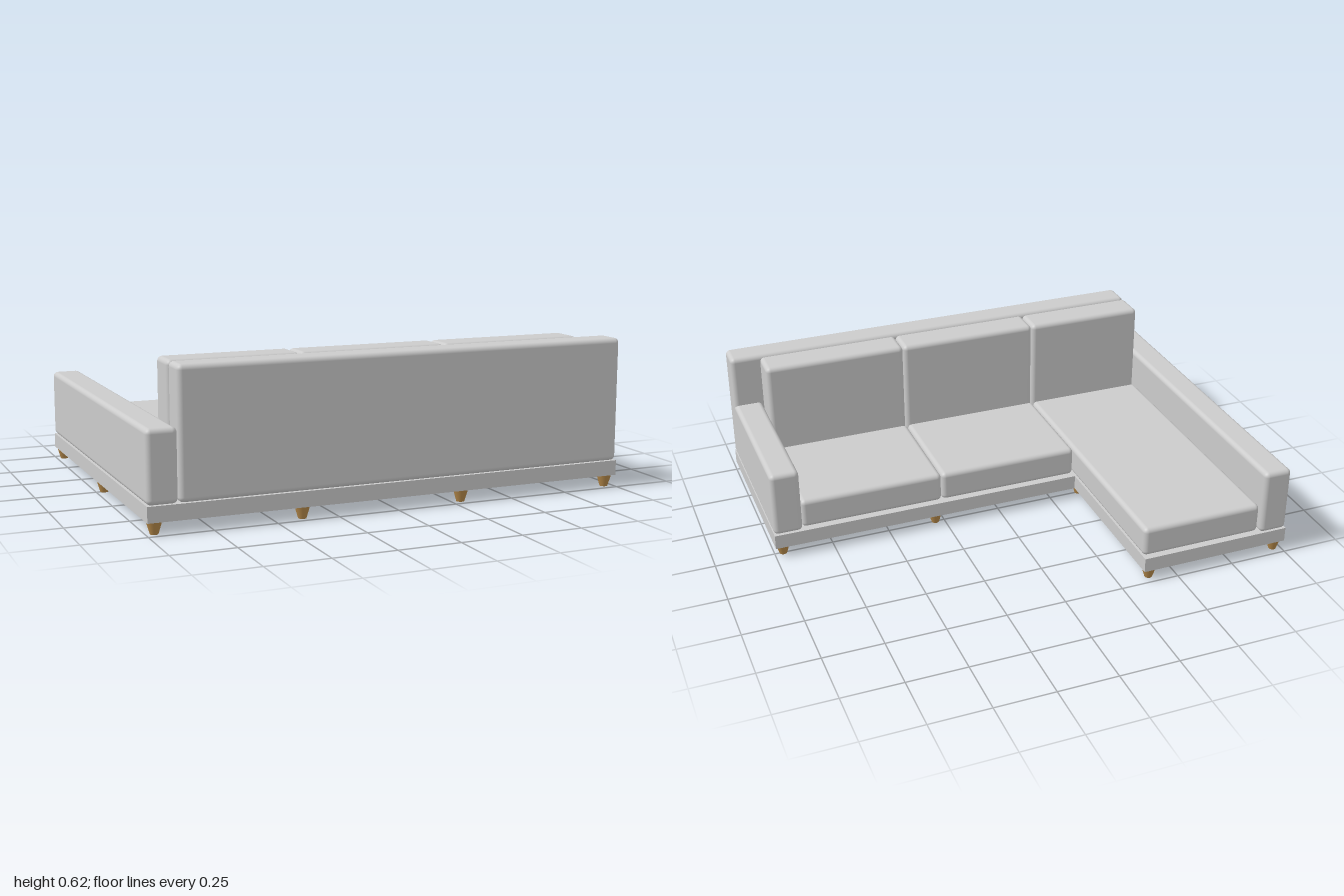
import * as THREE from 'three';
import { RoundedBoxGeometry } from 'three/addons/geometries/RoundedBoxGeometry.js';

export function createModel() {
  const sofa = new THREE.Group();
  sofa.name = 'cornerSofa';
  const fabric = new THREE.MeshStandardMaterial({ color: 0xcccccc });
  const wood = new THREE.MeshStandardMaterial({ color: 0xb5894a });

  // Softly rounded block spanning [min, max] on each axis
  function block(name, [x0, x1], [y0, y1], [z0, z1], radius = 0.02) {
    const mesh = new THREE.Mesh(new RoundedBoxGeometry(x1 - x0, y1 - y0, z1 - z0, 4, radius), fabric);
    mesh.position.set((x0 + x1) / 2, (y0 + y1) / 2, (z0 + z1) / 2);
    mesh.name = name;
    sofa.add(mesh);
  }

  // L-shaped plinth, outlined in (x, -z) and extruded upwards
  const outline = new THREE.Shape([
    [-1, -0.74], [1, -0.74], [1, 0.038], [-0.352, 0.038], [-0.352, 0.74], [-1, 0.74],
  ].map(([x, y]) => new THREE.Vector2(x, y)));
  const base = new THREE.Mesh(
    new THREE.ExtrudeGeometry(outline, { depth: 0.062, bevelEnabled: false }), fabric);
  base.rotation.x = -Math.PI / 2;
  base.position.y = 0.048;
  base.name = 'base';
  sofa.add(base);

  // Arms and backrest
  block('chaiseArm', [-1, -0.88], [0.11, 0.392], [-0.74, 0.74]);
  block('shortArm', [0.878, 1], [0.11, 0.392], [-0.036, 0.725]);
  block('backrest', [-0.878, 1], [0.11, 0.617], [0.62, 0.74]);

  // Seat and back cushions, one pair per bay; the first bay is the chaise
  const bays = [[-0.878, -0.353, -0.722], [-0.351, 0.26, -0.018], [0.262, 0.876, -0.018]];
  bays.forEach(([x0, x1, front], i) => {
    block(i === 0 ? 'chaiseCushion' : 'seatCushion', [x0, x1], [0.11, 0.237], [front, 0.47]);
    block('backCushion', [x0, x1], [0.11, 0.617], [0.474, 0.613]);
  });

  // Tapered feet: two full rows plus a pair under the chaise end
  const legGeometry = new THREE.CylinderGeometry(0.03, 0.016, 0.048, 20);
  const rows = [
    [0.71, [-0.967, -0.387, 0.29, 0.963]],
    [0, [-0.967, -0.387, 0.29, 0.963]],
    [-0.706, [-0.967, -0.387]],
  ];
  for (const [z, xs] of rows) {
    for (const x of xs) {
      const leg = new THREE.Mesh(legGeometry, wood);
      leg.position.set(x, 0.024, z);
      leg.name = 'leg';
      sofa.add(leg);
    }
  }
  return sofa;
}
